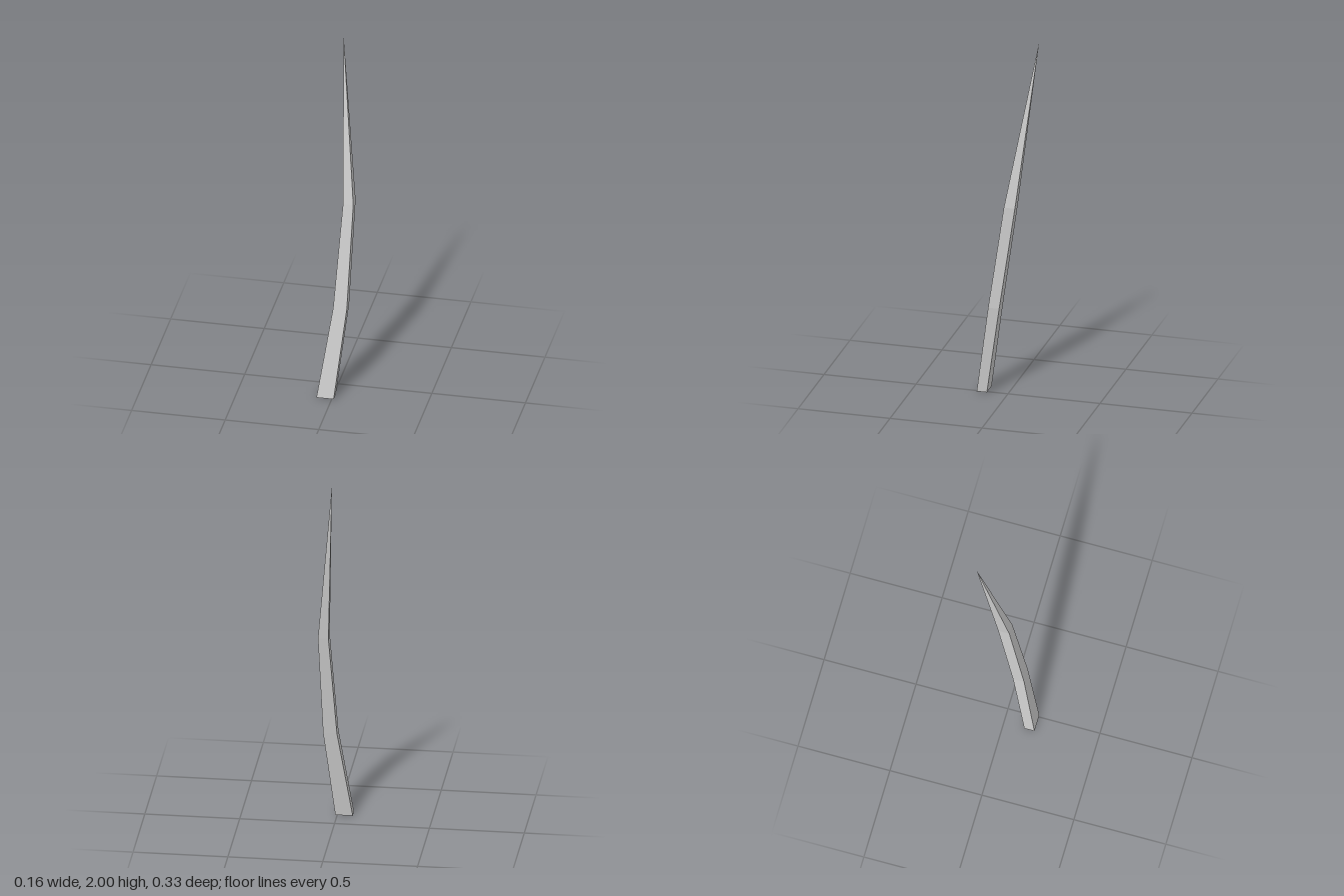
import * as THREE from 'three';

// Rectangular cross-sections, bottom to top: y, left x, right x, back z, front z
const SECTIONS = [
  [0, -0.082, 0.01, 0.112, 0.167],
  [0.5, -0.009, 0.064, 0.03, 0.09],
  [1.08, 0.025, 0.08, -0.06, 0],
  [2, -0.007, -0.007, -0.168, -0.168],
];

// Lofts four-sided rings into a closed, tapering solid
function loft(sections) {
  const positions = [];
  const indices = [];
  for (const [y, x0, x1, z0, z1] of sections) {
    positions.push(x0, y, z1, x1, y, z1, x1, y, z0, x0, y, z0);
  }
  for (let r = 0; r < sections.length - 1; r++) {
    const isTip = r === sections.length - 2;
    for (let i = 0; i < 4; i++) {
      const a = r * 4 + i;
      const b = r * 4 + ((i + 1) % 4);
      indices.push(a, b, b + 4);
      if (!isTip) indices.push(a, b + 4, a + 4);
    }
  }
  indices.push(0, 2, 1, 0, 3, 2); // base cap
  const indexed = new THREE.BufferGeometry();
  indexed.setAttribute('position', new THREE.Float32BufferAttribute(positions, 3));
  indexed.setIndex(indices);
  const geometry = indexed.toNonIndexed();
  geometry.computeVertexNormals();
  return geometry;
}

export function createModel() {
  const group = new THREE.Group();
  group.name = 'curvedSpike';
  const material = new THREE.MeshStandardMaterial({ color: 0xcccccc, flatShading: true });

  // Bent square blade narrowing to a point
  const blade = new THREE.Mesh(loft(SECTIONS), material);
  blade.name = 'blade';
  group.add(blade);
  return group;
}
